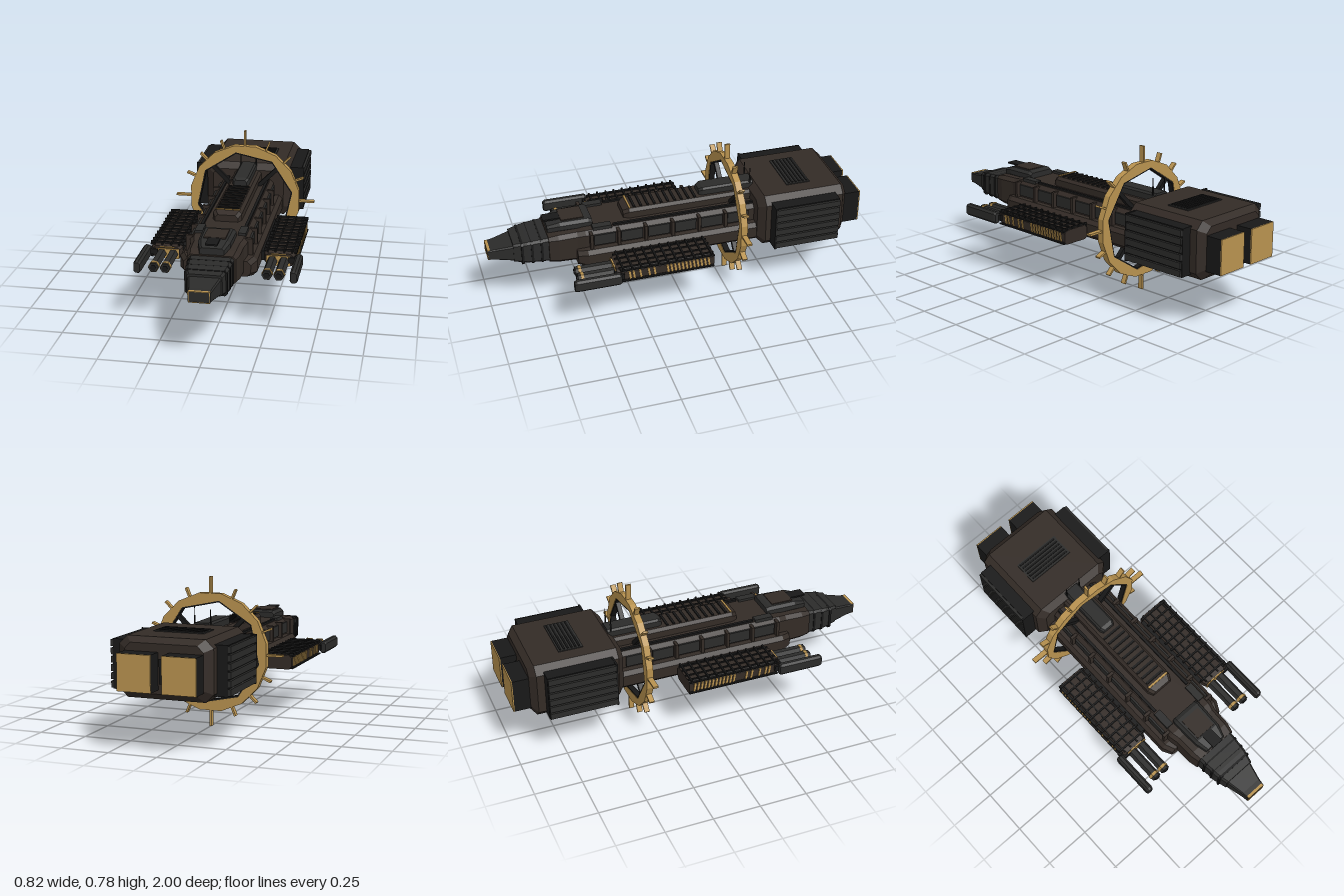
import * as THREE from 'three';

const mat = (color) => new THREE.MeshStandardMaterial({ color, flatShading: true, side: THREE.DoubleSide });
const HULL = mat(0x332b26), GREY = mat(0x2b2b2a), DARK = mat(0x181818), GOLD = mat(0xb8924f);

// Lofts chamfered rectangles along z; each section is [z, halfWidth, y0, y1, chamfer], back to front
function loft(sections, cx = 0) {
  const rings = sections.map(([z, w, a, b, c]) => [
    [w, a + c], [w, b - c], [w - c, b], [c - w, b], [-w, b - c], [-w, a + c], [c - w, a], [w - c, a],
  ].map(([x, y]) => [x + cx, y, z]));
  const pos = [];
  const tri = (...pts) => pts.forEach((p) => pos.push(...p));
  for (let i = 0; i < rings.length - 1; i++) {
    for (let j = 0; j < 8; j++) {
      const k = (j + 1) % 8, A = rings[i], B = rings[i + 1];
      tri(A[j], A[k], B[j]);
      tri(A[k], B[k], B[j]);
    }
  }
  const back = rings[0], front = rings[rings.length - 1];
  for (let j = 1; j < 7; j++) {
    tri(front[0], front[j], front[j + 1]);
    tri(back[0], back[j + 1], back[j]);
  }
  const g = new THREE.BufferGeometry();
  g.setAttribute('position', new THREE.Float32BufferAttribute(pos, 3));
  g.computeVertexNormals();
  return g;
}

const polygon = (n, r, turn, Type) => {
  const p = new Type();
  for (let i = 0; i < n; i++) {
    const a = turn + (i / n) * Math.PI * 2;
    p[i ? 'lineTo' : 'moveTo'](r * Math.cos(a), r * Math.sin(a));
  }
  p.closePath();
  return p;
};

export function createModel() {
  const model = new THREE.Group();
  const add = (name, geo, material, parent = model) => {
    const m = new THREE.Mesh(geo, material);
    m.name = name;
    parent.add(m);
    return m;
  };
  // Box given by its extents on each axis
  const box = (name, x0, x1, y0, y1, z0, z1, material, parent) => {
    const m = add(name, new THREE.BoxGeometry(x1 - x0, y1 - y0, z1 - z0), material, parent);
    m.position.set((x0 + x1) / 2, (y0 + y1) / 2, (z0 + z1) / 2);
    return m;
  };
  // Same box on both sides
  const pair = (name, x0, x1, ...rest) => {
    box(name, x0, x1, ...rest);
    box(name, -x1, -x0, ...rest);
  };

  // Main hull: wide lower body, narrower upper deck, tapering nose
  add('lowerHull', loft([[-0.44, 0.195, 0.275, 0.375, 0.02], [0.5, 0.195, 0.275, 0.375, 0.02], [0.55, 0.17, 0.285, 0.365, 0.02]]), HULL);
  add('upperDeck', loft([[-0.44, 0.145, 0.34, 0.465, 0.02], [0.5, 0.145, 0.34, 0.465, 0.02], [0.56, 0.13, 0.34, 0.455, 0.02]]), HULL);
  add('neck', loft([[0.5, 0.135, 0.288, 0.46, 0.02], [0.64, 0.132, 0.292, 0.455, 0.02], [0.69, 0.12, 0.298, 0.445, 0.015]]), HULL);
  add('nose', loft([[0.68, 0.112, 0.3, 0.44, 0.012], [0.8, 0.104, 0.305, 0.43, 0.012], [0.87, 0.086, 0.315, 0.42, 0.01]]), GREY);
  add('noseTip', loft([[0.83, 0.09, 0.315, 0.415, 0.008], [0.96, 0.06, 0.33, 0.392, 0.006], [0.997, 0.055, 0.335, 0.388, 0.004]]), GREY);
  for (const z of [0.72, 0.77, 0.82]) {
    const w = 0.117 - (z - 0.68) * 0.09;
    add('noseBand', loft([[z, w, 0.3, 0.44 - (z - 0.68) * 0.09, 0.012], [z + 0.012, w, 0.3, 0.44 - (z - 0.68) * 0.09, 0.012]]), DARK);
  }
  for (const y of [0.333, 0.387]) box('noseTrim', -0.052, 0.052, y, y + 0.003, 0.985, 1, GOLD);
  pair('noseTrim', 0.049, 0.052, 0.333, 0.39, 0.985, 1, GOLD);

  // Deck side panels, frames and small hull blocks
  for (let i = 0; i < 6; i++) {
    const z = -0.38 + i * 0.145;
    pair('sidePanel', 0.14, 0.155, 0.385, 0.445, z, z + 0.115, GREY);
    pair('sideFrame', 0.13, 0.17, 0.37, 0.46, z + 0.122, z + 0.138, HULL);
    box('bellyPanel', -0.06, 0.06, 0.268, 0.28, z, z + 0.07, DARK);
  }
  pair('deckRail', 0.105, 0.12, 0.46, 0.475, -0.42, 0.35, DARK);
  pair('deckBlock', 0.09, 0.13, 0.46, 0.478, 0.36, 0.46, GREY);

  // Bridge
  add('bridge', loft([[0.45, 0.08, 0.445, 0.495, 0.012], [0.47, 0.085, 0.445, 0.503, 0.015], [0.62, 0.08, 0.445, 0.5, 0.015], [0.685, 0.06, 0.435, 0.48, 0.01]]), GREY);
  box('bridgeRoof', -0.055, 0.055, 0.497, 0.507, 0.49, 0.61, HULL);
  box('bridgeVisor', -0.03, 0.03, 0.498, 0.506, 0.6, 0.7, DARK);

  // Dorsal spine with cross ribs, and the tower behind it
  add('spine', loft([[-0.42, 0.075, 0.45, 0.515, 0.015], [0.25, 0.075, 0.45, 0.515, 0.015], [0.28, 0.06, 0.45, 0.5, 0.015]]), HULL);
  for (let i = 0; i < 10; i++) box('spineRib', -0.055, 0.055, 0.51, 0.522, -0.12 + i * 0.037, -0.108 + i * 0.037, DARK);
  box('spineTrim', -0.065, 0.065, 0.518, 0.522, 0.24, 0.25, GOLD);
  add('tower', loft([[-0.44, 0.045, 0.5, 0.555, 0.01], [-0.16, 0.045, 0.5, 0.555, 0.01], [-0.14, 0.035, 0.5, 0.545, 0.01]]), GREY);
  for (const [x, top] of [[-0.043, 0.622], [0.043, 0.635]]) {
    box('antenna', x - 0.0015, x + 0.0015, 0.54, top, -0.424, -0.421, DARK);
    box('antennaBase', x - 0.003, x + 0.003, 0.54, 0.59, -0.426, -0.419, DARK);
  }

  // Engine block with roof vent, ribbed radiators and nozzles
  add('engineBlock', loft([[-0.91, 0.2, 0.28, 0.52, 0.03], [-0.88, 0.24, 0.25, 0.548, 0.04], [-0.45, 0.24, 0.25, 0.548, 0.04], [-0.415, 0.2, 0.28, 0.515, 0.03]]), HULL);
  box('roofPlate', -0.13, 0.13, 0.54, 0.553, -0.73, -0.6, GREY);
  for (let i = 0; i < 6; i++) box('roofVent', -0.12, 0.12, 0.55, 0.557, -0.722 + i * 0.02, -0.712 + i * 0.02, DARK);
  pair('radiator', 0.22, 0.295, 0.275, 0.52, -0.84, -0.48, DARK);
  for (let i = 0; i < 6; i++) pair('radiatorFin', 0.24, 0.308, 0.28 + i * 0.0405, 0.312 + i * 0.0405, -0.838, -0.482, GREY);
  pair('radiatorEdge', 0.24, 0.308, 0.275, 0.522, -0.488, -0.478, DARK);
  pair('nozzle', 0.028, 0.2, 0.3, 0.48, -0.995, -0.88, DARK);
  pair('nozzlePlate', 0.028, 0.2, 0.3, 0.48, -1, -0.994, GOLD);
  box('nozzleCore', -0.02, 0.02, 0.33, 0.45, -0.92, -0.88, DARK);

  // Ring around the hull with spikes and struts
  const ring = new THREE.Group();
  ring.name = 'ring';
  ring.position.set(0, 0.388, -0.307);
  model.add(ring);
  const band = (name, n, r, turn, hole, depth, material) => {
    const shape = polygon(n, r, turn, THREE.Shape);
    shape.holes.push(polygon(8, hole, 0.185, THREE.Path));
    const g = new THREE.ExtrudeGeometry(shape, { depth, bevelEnabled: false });
    add(name, g.translate(0, 0, -depth / 2), material, ring);
  };
  band('ringBand', 16, 0.309, Math.PI / 16, 0.271, 0.035, GOLD);
  band('ringLiner', 8, 0.273, 0.185, 0.263, 0.03, DARK);
  for (let i = 0; i < 16; i++) {
    const arm = new THREE.Group();
    arm.name = 'ringArm';
    arm.rotation.z = (i * Math.PI) / 8;
    ring.add(arm);
    const long = i % 4 === 0;
    box('spike', long ? 0.3 : 0.298, long ? 0.388 : 0.352, -0.005, 0.005, -0.014, 0.014, GOLD, arm);
    if (i % 4 === 2) box('strut', 0.1, 0.27, -0.011, 0.011, -0.012, 0.012, DARK, arm);
  }

  // Weapon pods on both sides
  for (const s of [1, -1]) {
    const pod = new THREE.Group();
    pod.name = s > 0 ? 'leftPod' : 'rightPod';
    model.add(pod);
    const side = (name, x0, x1, ...rest) => box(name, Math.min(s * x0, s * x1), Math.max(s * x0, s * x1), ...rest, pod);
    add('podBody', loft([[-0.12, 0.08, 0.285, 0.36, 0.015], [0.37, 0.08, 0.285, 0.36, 0.015], [0.395, 0.07, 0.29, 0.355, 0.015]], s * 0.292), HULL, pod);
    side('podMount', 0.17, 0.24, 0.3, 0.35, -0.1, 0.36, DARK);
    // Cage of bars over the pod
    for (let i = 0; i < 11; i++) side('cageBar', 0.208, 0.378, 0.355, 0.369, -0.11 + i * 0.047, -0.101 + i * 0.047, DARK);
    for (const x of [0.225, 0.265, 0.31, 0.35]) side('cageRail', x, x + 0.008, 0.355, 0.366, -0.12, 0.385, DARK);
    for (const y of [0.288, 0.352]) side('sideRail', 0.365, 0.378, y, y + 0.007, -0.12, 0.38, DARK);
    // Slanted gold side ribs
    for (const z of [0.33, 0.31, 0.275, 0.23, 0.2, 0.13, 0.11, 0.09, 0.07, 0.05, 0.03, 0.01, -0.01, -0.03, -0.05, -0.07, -0.09]) {
      side('sideRib', 0.365, 0.377, 0.3, 0.347, z - 0.005, z + 0.005, GOLD).rotation.x = 0.15;
    }
    // Twin barrels with gold collars
    side('gunPlate', 0.225, 0.345, 0.29, 0.343, 0.385, 0.4, GOLD);
    side('gunTrim', 0.25, 0.325, 0.349, 0.354, 0.385, 0.402, GOLD);
    for (const x of [0.255, 0.315]) {
      const tube = (name, r, z0, z1, material) => {
        const m = add(name, new THREE.CylinderGeometry(r, r, z1 - z0, 6).rotateX(Math.PI / 2).rotateZ(Math.PI / 6), material, pod);
        m.position.set(s * x, 0.316, (z0 + z1) / 2);
      };
      tube('barrel', 0.026, 0.39, 0.59, GREY);
      tube('barrelCollar', 0.029, 0.56, 0.575, GOLD);
      tube('muzzle', 0.016, 0.58, 0.596, DARK);
    }
    // Outer fin and its arm
    add('outerFin', loft([[0.38, 0.015, 0.297, 0.35, 0.008], [0.39, 0.019, 0.292, 0.357, 0.011], [0.61, 0.019, 0.292, 0.357, 0.011], [0.622, 0.015, 0.297, 0.35, 0.008]], s * 0.391), GREY, pod);
    side('finArm', 0.335, 0.385, 0.31, 0.34, 0.36, 0.405, DARK);
  }

  // Belly turret
  box('turretStem', -0.015, 0.015, 0.25, 0.29, 0.27, 0.33, DARK);
  box('turretBody', -0.026, 0.026, 0.222, 0.264, 0.21, 0.38, GREY);
  box('turretPlate', -0.03, 0.03, 0.218, 0.268, 0.38, 0.392, GOLD);
  box('turretMuzzle', -0.02, 0.02, 0.226, 0.26, 0.385, 0.408, DARK).rotation.z = -0.2;
  return model;
}
